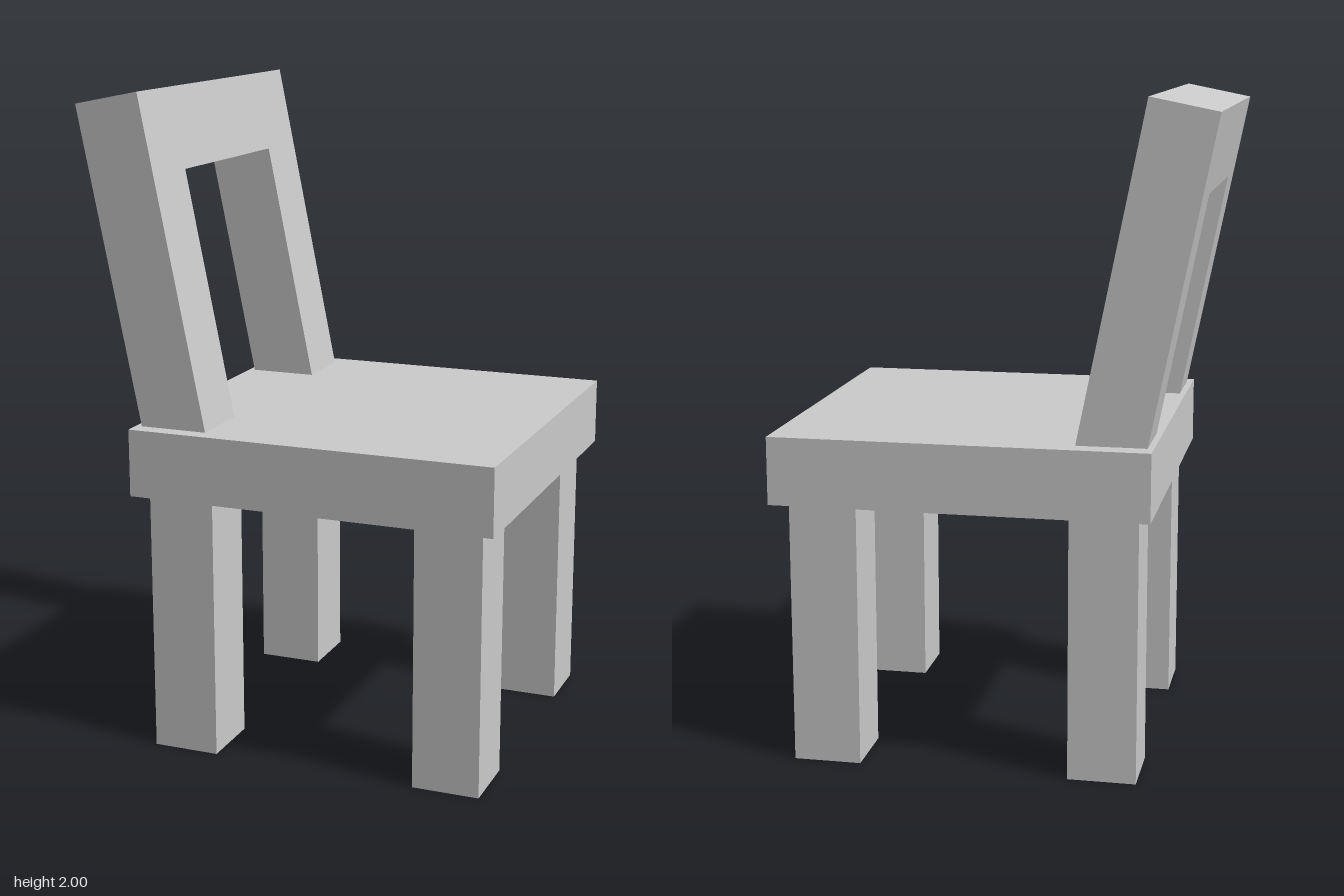
import * as THREE from 'three';

const material = new THREE.MeshStandardMaterial({ color: 0xcccccc, flatShading: true });

// Box given by its minimum and maximum corners
function box(name, [x0, y0, z0], [x1, y1, z1]) {
  const mesh = new THREE.Mesh(new THREE.BoxGeometry(x1 - x0, y1 - y0, z1 - z0), material);
  mesh.position.set((x0 + x1) / 2, (y0 + y1) / 2, (z0 + z1) / 2);
  mesh.name = name;
  return mesh;
}

// Tilted backrest: one arch of two posts and a top rail, its feet sunk into the seat
function createBackrest() {
  const outer = 0.51, inner = 0.305, rail = 0.245, height = 1.02, thickness = 0.204;
  const arch = new THREE.Shape([
    [-outer, -height], [-inner, -height], [-inner, -rail], [inner, -rail],
    [inner, -height], [outer, -height], [outer, 0], [-outer, 0],
  ].map(([x, y]) => new THREE.Vector2(x, y)));
  const geometry = new THREE.ExtrudeGeometry(arch, { depth: thickness, bevelEnabled: false });
  geometry.translate(0, 0, -thickness).rotateY(Math.PI / 2);
  const mesh = new THREE.Mesh(geometry, material);
  mesh.name = 'backrest';
  mesh.position.set(-0.45, 2, 0.005); // top front edge
  mesh.rotation.z = 0.197;
  return mesh;
}

export function createModel() {
  const chair = new THREE.Group();
  chair.name = 'chair';

  chair.add(box('seat', [-0.48, 0.81, -0.565], [0.65, 1.015, 0.565]));

  // Four square legs
  for (const [end, x] of [['back', -0.44], ['front', 0.4]]) {
    for (const [side, z] of [['Right', 0.31], ['Left', -0.505]]) {
      chair.add(box(`${end}${side}Leg`, [x, 0, z], [x + 0.205, 0.81, z + 0.205]));
    }
  }

  chair.add(createBackrest());
  return chair;
}
